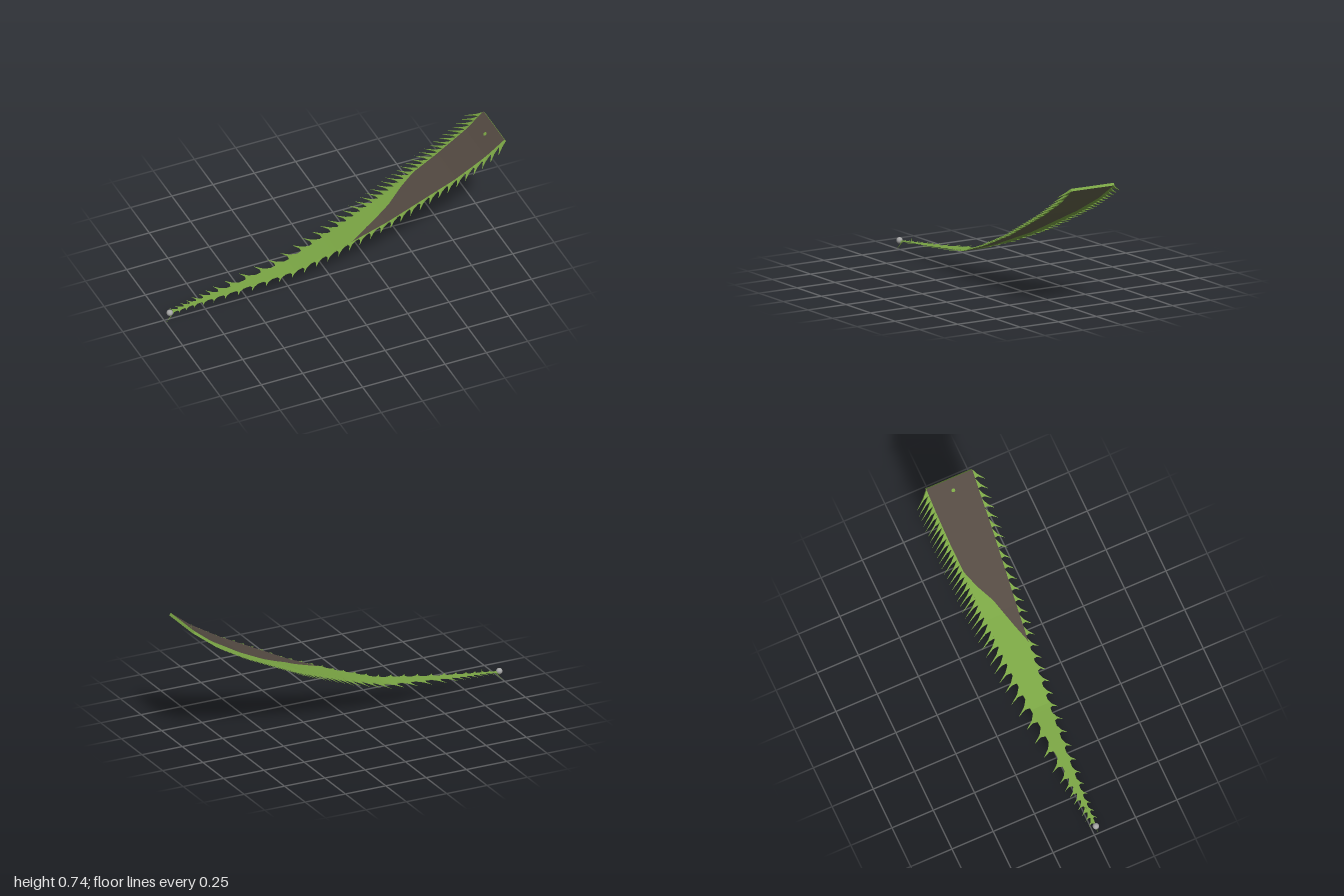
import * as THREE from 'three';

const green = new THREE.MeshStandardMaterial({ color: 0x7aa544, side: THREE.DoubleSide });
const brown = new THREE.MeshStandardMaterial({ color: 0x544a42, side: THREE.DoubleSide });
const olive = new THREE.MeshStandardMaterial({ color: 0x62624a, side: THREE.DoubleSide });
const grey = new THREE.MeshStandardMaterial({ color: 0xa6a6a6 });
green.name = 'leafGreen';
brown.name = 'driedBrown';
olive.name = 'undersideOlive';
grey.name = 'dropGrey';

// Piecewise linear rule through [x, value] points
const rule = (pts) => (x) => {
  let i = 1;
  while (i < pts.length - 1 && x > pts[i][0]) i++;
  const [x0, v0] = pts[i - 1], [x1, v1] = pts[i];
  return v0 + (v1 - v0) * THREE.MathUtils.clamp((x - x0) / (x1 - x0), 0, 1);
};

const X0 = -0.975, X1 = 0.994;
const height = rule([[-0.975, 0.058], [-0.6, 0.097], [-0.24, 0.146], [0, 0.225], [0.3, 0.345], [0.7, 0.54], [0.88, 0.645], [0.994, 0.733]]);
const thick = rule([[-0.975, 0.002], [-0.5, 0.003], [-0.24, 0.005], [0.3, 0.01], [1, 0.016]]);
const backEdge = rule([[-0.975, 0.014], [-0.8, 0.003], [-0.5, -0.017], [-0.24, -0.038], [0, -0.06], [0.4, -0.086], [0.7, -0.108], [1, -0.12]]);
const frontEdge = rule([[-0.975, 0.024], [-0.8, 0.027], [-0.5, 0.046], [-0.24, 0.068], [0, 0.089], [0.4, 0.123], [0.7, 0.148], [1, 0.162]]);
// Where green gives way to the dried colour, above and below
const topLine = rule([[0.1, 0.098], [0.2, 0.06], [0.36, 0.005], [0.46, -0.052], [0.55, -0.09], [0.7, -0.102], [1, -0.118]]);
const underLine = rule([[-0.5, 0.046], [-0.46, 0.03], [-0.07, 0.02], [0.19, 0], [0.41, -0.03], [0.62, -0.052], [0.8, -0.08], [1, -0.112]]);

// Point on the upper (s = 1), middle (0) or lower (-1) surface
function at(x, z, s) {
  const d = 0.004, xc = Math.min(x, X1 - d);
  const slope = Math.atan2(height(xc + d) - height(xc - d), 2 * d);
  const h = (s * thick(x)) / 2;
  return new THREE.Vector3(x - Math.sin(slope) * h, height(x) + Math.cos(slope) * h, z);
}

function facetMesh(name, points, material) {
  const geometry = new THREE.BufferGeometry().setFromPoints(points);
  geometry.computeVertexNormals();
  const mesh = new THREE.Mesh(geometry, material);
  mesh.name = name;
  return mesh;
}

const quad = (out, a, b, c, d) => out.push(a, b, c, a, c, d);

// Ribbon between two edge rules a and b from x = from to X1
function ribbon(name, a, b, from, material) {
  const points = [], n = 72;
  for (let i = 0; i < n; i++) {
    const p = from + ((X1 - from) * i) / n, q = from + ((X1 - from) * (i + 1)) / n;
    quad(points, a(p), b(p), b(q), a(q));
  }
  return facetMesh(name, points, material);
}

// Hooked tooth: broad foot, then a hair-thin point leaning to the tip
function tooth(points, x, edge, side, width, out, lean) {
  const ring = (k, w, spread) => {
    const cx = x - lean * k;
    return [[-1, 1], [1, 1], [1, -1], [-1, -1]].map(([e, s]) => {
      const px = THREE.MathUtils.clamp(cx + (e * w) / 2, X0, X1);
      const p = at(px, (k === 0 ? edge(px) : edge(x)) + side * out * k, s);
      return p.lerp(at(px, p.z, 0), 1 - spread);
    });
  };
  const rings = [ring(0, width, 0.95), ring(0.35, width * 0.3, 0.6), ring(1, 0.0008, 0.05)];
  for (let r = 0; r < 2; r++) {
    for (let i = 0; i < 4; i++) {
      const j = (i + 1) % 4, a = rings[r], b = rings[r + 1];
      if (side > 0) quad(points, a[i], b[i], b[j], a[j]);
      else quad(points, a[i], a[j], b[j], b[i]);
    }
  }
}

function teeth(name, edge, side, pitch, width, out, lean) {
  const points = [];
  for (let x = 0.975; x > -0.95; x -= pitch(x)) {
    tooth(points, x, edge, side, width(x), out(x), lean(x));
  }
  return facetMesh(name, points, green);
}

export function createModel() {
  const group = new THREE.Group();
  group.name = 'spinyLeaf';

  const clampZ = (f) => (x) => THREE.MathUtils.clamp(f(x), backEdge(x), frontEdge(x));
  const top = clampZ(topLine), under = clampZ(underLine);
  const on = (f, s) => (x) => at(x, f(x), s);

  // Blade faces
  group.add(
    ribbon('upperGreen', on(backEdge, 1), on((x) => (x < 0.1 ? frontEdge(x) : top(x)), 1), X0, green),
    ribbon('upperBrown', on(top, 1), on(frontEdge, 1), 0.1, brown),
    ribbon('lowerGreen', on((x) => (x < -0.5 ? frontEdge(x) : under(x)), -1), on(backEdge, -1), X0, green),
    ribbon('lowerOlive', on(frontEdge, -1), on(under, -1), -0.5, olive),
    ribbon('frontRim', on(frontEdge, 1), on(frontEdge, -1), X0, green),
    ribbon('backRim', on(backEdge, -1), on(backEdge, 1), X0, green)
  );

  // Cut end of the leaf
  const cap = [];
  quad(cap, at(X1, frontEdge(X1), -1), at(X1, backEdge(X1), -1), at(X1, backEdge(X1), 1), at(X1, frontEdge(X1), 1));
  group.add(facetMesh('cutEnd', cap, green));

  // Teeth along both edges
  group.add(
    teeth('backTeeth', backEdge, -1,
      rule([[-0.9, 0.035], [-0.65, 0.05], [-0.5, 0.1], [-0.2, 0.085], [0.1, 0.05], [0.4, 0.032], [1, 0.027]]),
      rule([[-0.9, 0.03], [-0.5, 0.06], [0, 0.045], [0.4, 0.03], [1, 0.026]]),
      rule([[-0.95, 0.025], [-0.6, 0.06], [0, 0.08], [0.4, 0.095], [1, 0.088]]),
      rule([[-0.95, 0.02], [-0.5, 0.04], [1, 0.06]])),
    teeth('frontTeeth', frontEdge, 1,
      rule([[-0.9, 0.04], [-0.5, 0.085], [0, 0.065], [1, 0.048]]),
      rule([[-0.9, 0.025], [-0.5, 0.05], [1, 0.046]]),
      rule([[-0.95, 0.02], [-0.5, 0.038], [1, 0.052]]),
      rule([[-0.95, 0.015], [-0.5, 0.03], [1, 0.045]]))
  );

  // Drop at the tip with a fine hair below it
  const drop = new THREE.Mesh(new THREE.SphereGeometry(0.018, 20, 14), grey);
  drop.name = 'tipDrop';
  drop.position.set(-0.975, 0.059, 0.02);
  group.add(drop);

  const spine = (name, from, to, r) => {
    const a = new THREE.Vector3(...from), dir = new THREE.Vector3(...to).sub(a);
    const mesh = new THREE.Mesh(new THREE.ConeGeometry(r, dir.length(), 5), green);
    mesh.name = name;
    mesh.position.copy(a).addScaledVector(dir, 0.5);
    mesh.quaternion.setFromUnitVectors(new THREE.Vector3(0, 1, 0), dir.normalize());
    group.add(mesh);
  };
  spine('tipHair', [-0.95, 0.055, 0.02], [-1, 0, 0.025], 0.004);
  spine('upperSpine', [-0.862, 0.068, 0.015], [-0.862, 0.095, 0.01], 0.005);

  // Small spot near the cut end
  const spot = new THREE.Mesh(new THREE.CircleGeometry(0.011, 16), green);
  spot.name = 'spot';
  const p = at(0.94, 0.022, 1.2), q = at(0.945, 0.022, 1.2), r = at(0.94, 0.03, 1.2);
  const normal = r.sub(p).cross(q.sub(p)).normalize();
  spot.quaternion.setFromUnitVectors(new THREE.Vector3(0, 0, 1), normal);
  spot.position.copy(p);
  group.add(spot);

  return group;
}
